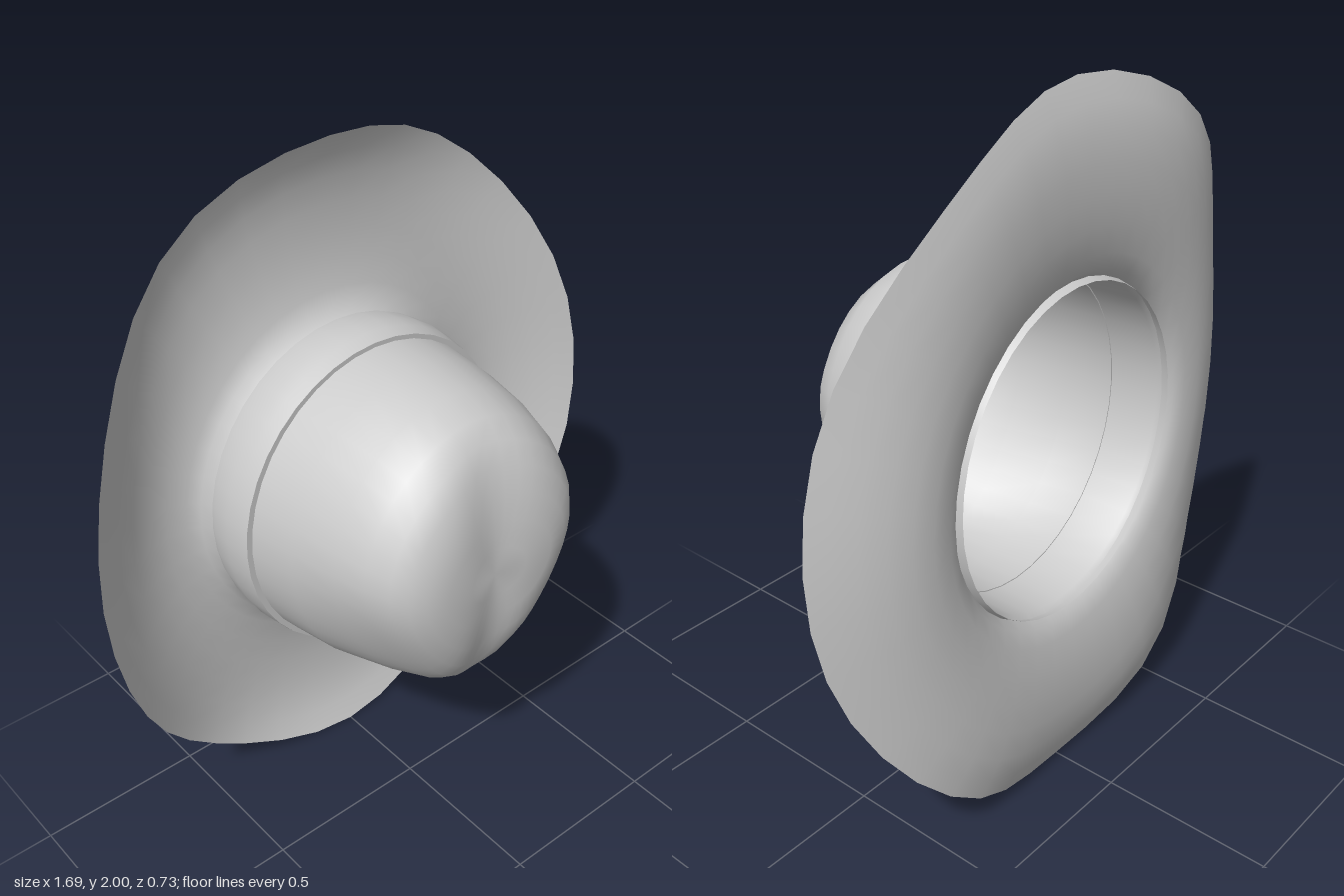
import * as THREE from 'three';
import { mergeVertices } from 'three/addons/utils/BufferGeometryUtils.js';

const SEG = 40;
const CY = 1.01; // height of the crown axis
const { lerp, smoothstep } = THREE.MathUtils;
const material = new THREE.MeshStandardMaterial({ color: 0xcccccc, side: THREE.DoubleSide });

// Skin a stack of closed rings; each ring is a function of the angle returning [x, y, z]
function loft(name, rings) {
  const pos = [], index = [];
  rings.forEach((ring, r) => {
    for (let i = 0; i < SEG; i++) {
      pos.push(...ring((i / SEG) * Math.PI * 2));
      if (r === rings.length - 1) continue;
      const a = r * SEG + i, b = r * SEG + ((i + 1) % SEG);
      index.push(a, b, b + SEG, a, b + SEG, a + SEG);
    }
  });
  let geo = new THREE.BufferGeometry();
  geo.setAttribute('position', new THREE.Float32BufferAttribute(pos, 3));
  geo.setIndex(index);
  geo = mergeVertices(geo, 1e-5);
  geo.computeVertexNormals();
  const mesh = new THREE.Mesh(geo, material);
  mesh.name = name;
  return mesh;
}

const oval = (z, rx, ry) => (a) => [rx * Math.cos(a), CY + ry * Math.sin(a), z];

// Brim: sides curl forward strongly, the two ends only a little
function brimRing([t, sideZ, endZ]) {
  return (a) => {
    const c = Math.cos(a), s = Math.sin(a), s2 = s * s;
    const x = lerp(0.44, 0.845, t) * c;
    const y = lerp(CY, 1, t) + lerp(0.47, 1, t) * s;
    const sag = 0.43 * s2 * s2 * (1 - s2) * t * t;
    return [x, y, lerp(sideZ, endZ, s2) - sag];
  };
}

// Crown: oval rings, pinched at the lower sides, with a crease along the top
function crownRing([z, rx, ry]) {
  const base = oval(z, rx, ry);
  return (a) => {
    const [x, y] = base(a);
    const rise = smoothstep(z, -0.1, 0.3);
    const pinch = 1 - 0.26 * rise * (1 - smoothstep(y, 0.65, 1.15));
    const crease = 0.03 * smoothstep(z, 0.2, 0.35) * Math.exp(-((x / 0.1) ** 2));
    return [x * pinch, y, z - crease];
  };
}

export function createModel() {
  const hat = new THREE.Group();
  hat.name = 'hat';

  // Fraction outward, depth at the sides, depth at the ends
  const brim = [
    [1, -0.2, -0.3], [0.88, -0.237, -0.328], [0.75, -0.275, -0.348], [0.6, -0.31, -0.358],
    [0.45, -0.333, -0.36], [0.3, -0.345, -0.356], [0.15, -0.34, -0.342], [0.06, -0.325, -0.325],
  ];
  // Depth, half width, half height
  const crown = [
    [-0.29, 0.435, 0.468], [-0.14, 0.428, 0.465], [0, 0.407, 0.465], [0.14, 0.382, 0.447],
    [0.23, 0.358, 0.415], [0.29, 0.328, 0.37], [0.325, 0.295, 0.31], [0.348, 0.25, 0.235],
    [0.361, 0.19, 0.155], [0.367, 0.1, 0.08], [0.368, 0, 0],
  ];
  hat.add(loft('brimAndCrown', [...brim.map(brimRing), ...crown.map(crownRing)]));

  // Band around the foot of the crown, with a sharp ledge at its front edge
  hat.add(loft('hatBand', [
    oval(-0.325, 0.438, 0.472), oval(-0.28, 0.449, 0.486), oval(-0.22, 0.453, 0.491),
    oval(-0.18, 0.449, 0.487), oval(-0.14, 0.445, 0.478),
  ]));
  hat.add(loft('bandEdge', [oval(-0.14, 0.445, 0.478), oval(-0.14, 0.425, 0.462)]));

  return hat;
}
